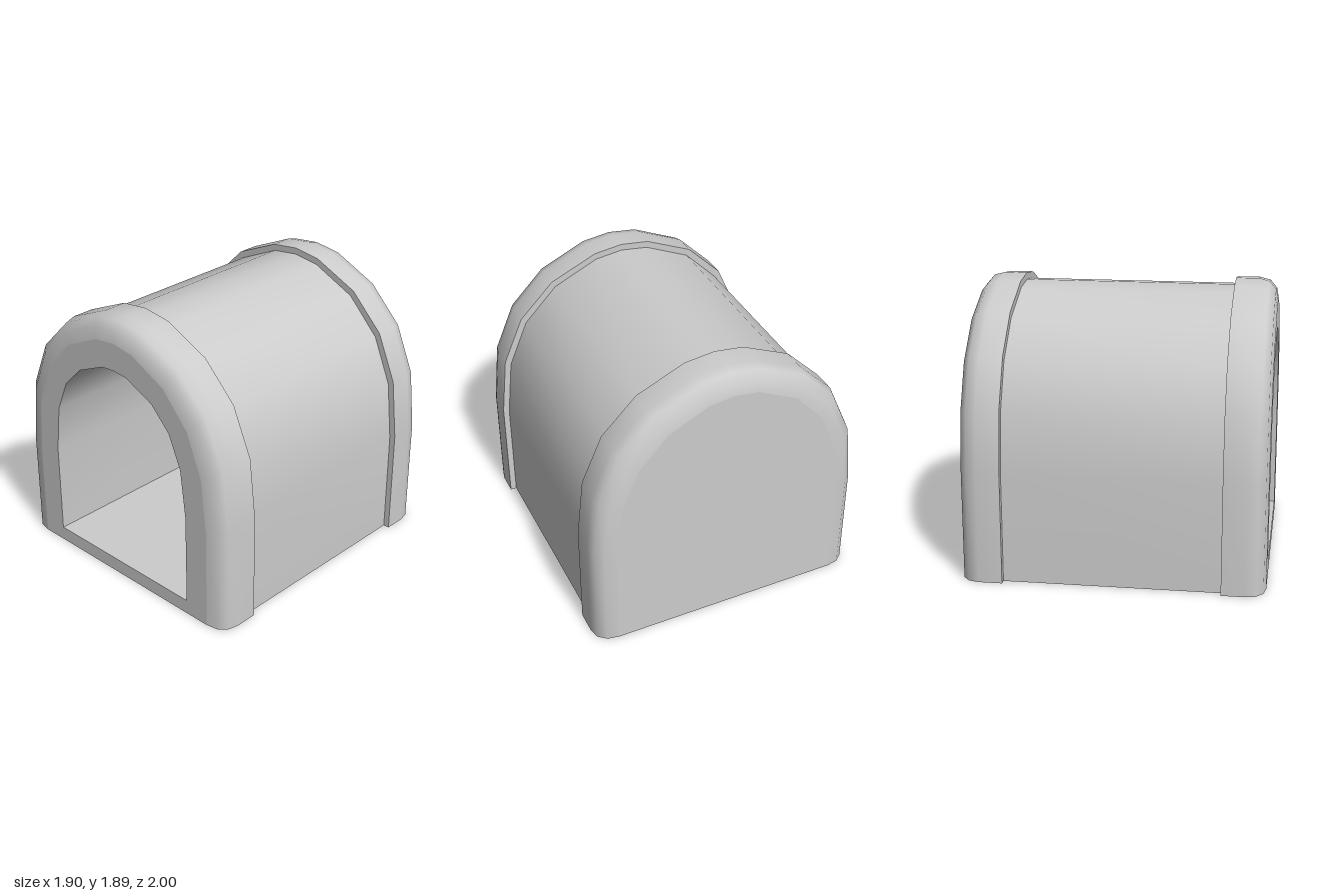
import * as THREE from 'three';

const material = new THREE.MeshStandardMaterial({ color: 0xcccccc, side: THREE.DoubleSide });

// Half arches from the base on +x up to the crown
const OUTER = [[0.95, 0], [0.95, 0.75], [0.905, 1.16], [0.765, 1.48], [0.525, 1.72], [0.2, 1.865], [0, 1.89]];
const OPENING = [[0.62, 0.1], [0.62, 0.74], [0.58, 1.07], [0.485, 1.29], [0.335, 1.44], [0.11, 1.54], [0, 1.55]];

// Mirror a half arch into a full one, scaled inwards by separate side and top insets
function arch(half, side = 0, top = side) {
  const sx = 1 - side / 0.95, sy = 1 - top / 1.89;
  const right = half.map(([x, y]) => new THREE.Vector2(x * sx, y * sy));
  const left = right.slice(0, -1).reverse().map((p) => new THREE.Vector2(-p.x, p.y));
  return [...right, ...left];
}

// Skin a row of arches, given from front to back as { z, points }
function loft(rings) {
  const n = rings[0].points.length;
  const positions = rings.flatMap(({ z, points }) => points.flatMap((p) => [p.x, p.y, z]));
  const index = [];
  for (let r = 0; r < rings.length - 1; r++) {
    for (let i = 0; i < n - 1; i++) {
      const a = r * n + i, b = a + 1, c = a + n, d = c + 1;
      index.push(a, c, b, b, c, d);
    }
  }
  const geometry = new THREE.BufferGeometry();
  geometry.setAttribute('position', new THREE.Float32BufferAttribute(positions, 3));
  geometry.setIndex(index);
  geometry.computeVertexNormals();
  return geometry;
}

export function createModel() {
  const group = new THREE.Group();
  const add = (name, geometry) => {
    const mesh = new THREE.Mesh(geometry, material);
    mesh.name = name;
    group.add(mesh);
    return mesh;
  };

  const RIM_Z = 0.715, BACK_Z = -0.55;
  const body = arch(OUTER, 0.042, 0.045);

  // Vaulted body between the two rims, open underneath
  add('body', loft([{ z: RIM_Z, points: body }, { z: -RIM_Z, points: body }]));

  // Raised rims with rounded outer edges: [z, inset]
  const rimProfile = [[1, 0.15], [0.985, 0.07], [0.94, 0.018], [0.87, 0], [RIM_Z, 0]];
  const rim = rimProfile.map(([z, inset]) => ({ z, points: arch(OUTER, inset) }));
  const rimBack = rim.map(({ z, points }) => ({ z: -z, points })).reverse();
  add('frontRim', loft(rim));
  add('backRim', loft(rimBack));

  // Narrow steps from the rims down to the body
  const full = arch(OUTER);
  add('frontStep', loft([{ z: RIM_Z, points: full }, { z: RIM_Z, points: body }]));
  add('backStep', loft([{ z: -RIM_Z, points: body }, { z: -RIM_Z, points: full }]));

  // End walls, the front one pierced by the doorway
  const opening = arch(OPENING);
  const frontShape = new THREE.Shape(rim[0].points);
  frontShape.holes.push(new THREE.Path(opening));
  add('frontWall', new THREE.ShapeGeometry(frontShape)).position.z = 1;
  const backWall = add('backWall', new THREE.ShapeGeometry(new THREE.Shape(rim[0].points)));
  backWall.rotation.y = Math.PI;
  backWall.position.z = -1;

  // Inner chamber: vault, end wall and raised floor
  add('chamberVault', loft([{ z: 1, points: opening }, { z: BACK_Z, points: opening }]));
  add('chamberEnd', new THREE.ShapeGeometry(new THREE.Shape(opening))).position.z = BACK_Z;
  const floor = add('chamberFloor', new THREE.PlaneGeometry(1.24, 1 - BACK_Z));
  floor.rotation.x = -Math.PI / 2;
  floor.position.set(0, 0.1, (1 + BACK_Z) / 2);

  return group;
}
